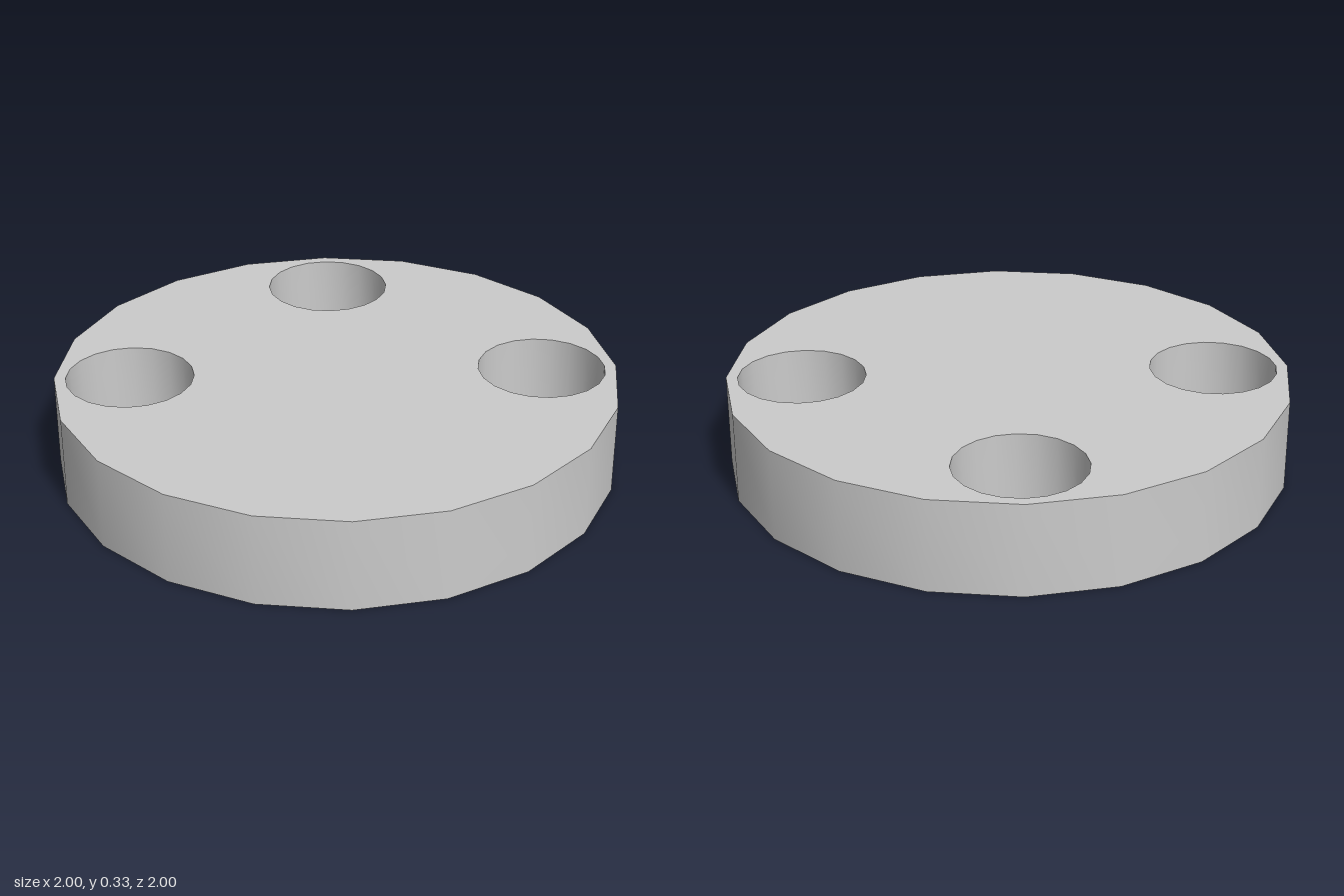
import * as THREE from 'three';
import { toCreasedNormals } from 'three/addons/utils/BufferGeometryUtils.js';

const SIDES = 20;
const HEIGHT = 0.33;
const HOLE_RADIUS = 0.227;
const HOLE_OFFSET = 0.732;

// Corners of a regular polygon with corners on both axes
function ring(cx, cy, radius) {
  return Array.from({ length: SIDES }, (_, i) => {
    const a = (i / SIDES) * Math.PI * 2;
    return new THREE.Vector2(cx + radius * Math.cos(a), cy + radius * Math.sin(a));
  });
}

export function createModel() {
  const group = new THREE.Group();
  group.name = 'drilledDisc';

  // Disc outline with through holes on the left, back and right
  const outline = new THREE.Shape(ring(0, 0, 1));
  for (const angle of [0, Math.PI / 2, Math.PI]) {
    const cx = HOLE_OFFSET * Math.cos(angle);
    const cy = HOLE_OFFSET * Math.sin(angle);
    outline.holes.push(new THREE.Path(ring(cx, cy, HOLE_RADIUS)));
  }

  // Laid flat: smooth walls, sharp rims
  const extruded = new THREE.ExtrudeGeometry(outline, { depth: HEIGHT, bevelEnabled: false });
  extruded.rotateX(-Math.PI / 2);
  const disc = new THREE.Mesh(
    toCreasedNormals(extruded, Math.PI / 6),
    new THREE.MeshStandardMaterial({ color: 0xcccccc })
  );
  disc.name = 'disc';
  group.add(disc);

  return group;
}
